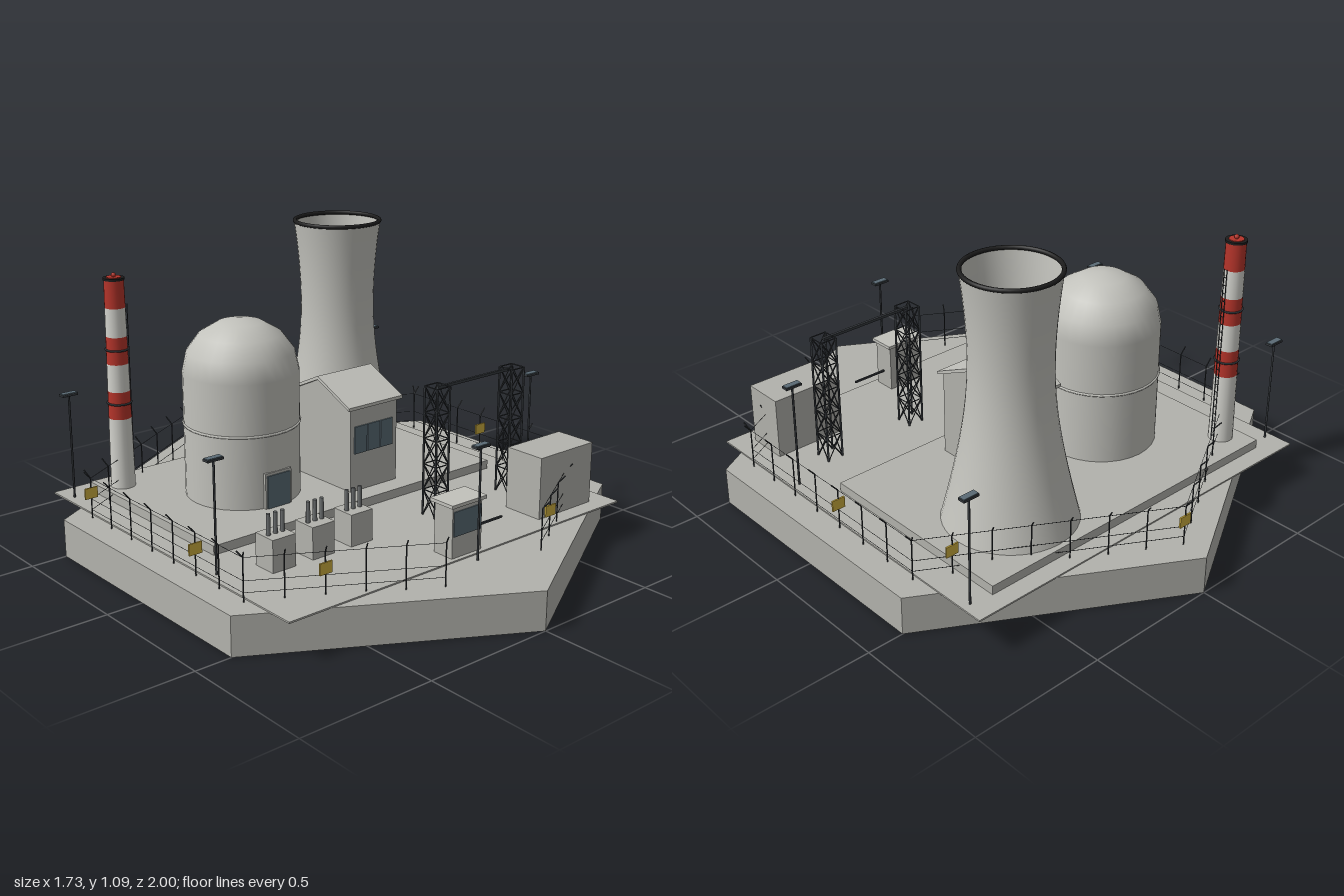
import * as THREE from 'three';
import { mergeGeometries } from 'three/addons/utils/BufferGeometryUtils.js';

const mat = (name, color, side = THREE.FrontSide) => {
  const m = new THREE.MeshStandardMaterial({ color, side });
  m.name = name;
  return m;
};

export function createModel() {
  const concrete = mat('concrete', 0xb2b2ac);
  const shell = mat('pale concrete', 0xc2c2bc, THREE.DoubleSide);
  const white = mat('stack white', 0xd2d2cc);
  const red = mat('stack red', 0xb5342a);
  const glass = mat('dark glass', 0x5a6b75);
  const steel = mat('dark steel', 0x34383c);
  const black = mat('rim black', 0x1c1c1c);
  const insulator = mat('insulator grey', 0x6c6f70);
  const yellow = mat('sign yellow', 0xd0b040);

  const model = new THREE.Group();
  const V = (x, y, z) => new THREE.Vector3(x, y, z);
  const add = (name, geo, material, x = 0, y = 0, z = 0, parent = model) => {
    const mesh = new THREE.Mesh(geo, material);
    mesh.name = name;
    mesh.position.set(x, y, z);
    parent.add(mesh);
    return mesh;
  };
  // Box given by its centre in x and z, and its bottom
  const box = (name, material, w, h, d, x, y, z, parent) =>
    add(name, new THREE.BoxGeometry(w, h, d), material, x, y + h / 2, z, parent);
  // Straight rod between two points
  const rod = (a, b, r, sides = 5) => {
    const dir = b.clone().sub(a);
    const g = new THREE.CylinderGeometry(r, r, dir.length(), sides);
    g.applyQuaternion(new THREE.Quaternion().setFromUnitVectors(V(0, 1, 0), dir.normalize()));
    return g.translate(...a.clone().add(b).multiplyScalar(0.5).toArray());
  };
  const G = 0.145, P = 0.178; // ground and plinth heights

  // Site: hexagonal base, yard slab and plinth
  const hex = new THREE.CylinderGeometry(1, 1, 0.14, 6).toNonIndexed();
  hex.computeVertexNormals();
  add('base', hex, concrete, 0, 0.07, 0);
  box('yardSlab', concrete, 1.525, 0.006, 1.407, 0, 0.139, -0.047);
  box('plinth', concrete, 1.296, P - 0.14, 0.79, 0, 0.14, -0.288);

  // Cooling tower: hyperbolic shell with a dark rim
  const profile = [];
  for (let i = 0; i <= 20; i++) {
    const y = P + (1.08 - P) * i / 20, k = (y - 0.76) / (y < 0.76 ? 0.437 : 0.52);
    profile.push(new THREE.Vector2(0.141 * Math.sqrt(1 + k * k), y));
  }
  add('coolingTower', new THREE.LatheGeometry(profile, 40), shell, 0.339, 0, -0.429);
  const rim = new THREE.TorusGeometry(0.162, 0.008, 8, 40).rotateX(Math.PI / 2);
  add('coolingTowerRim', rim, black, 0.339, 1.08, -0.429);

  // Reactor: drum, dome, ring and door
  const reactor = new THREE.Group();
  reactor.name = 'reactor';
  reactor.position.set(-0.26, 0, -0.252);
  model.add(reactor);
  add('reactorDrum', new THREE.CylinderGeometry(0.21, 0.21, 0.459, 32, 1, true), shell, 0, P + 0.2295, 0, reactor);
  const dome = new THREE.SphereGeometry(0.21, 32, 4, 0, Math.PI * 2, 0, Math.PI / 2).scale(1, 0.9, 1);
  add('reactorDome', dome, shell, 0, 0.637, 0, reactor);
  add('reactorRing', new THREE.TorusGeometry(0.21, 0.005, 6, 32).rotateX(Math.PI / 2), shell, 0, 0.448, 0, reactor);
  box('reactorDoorFrame', concrete, 0.115, 0.132, 0.03, 0, P, 0.197, reactor);
  box('reactorDoor', glass, 0.1, 0.122, 0.006, 0, P, 0.213, reactor);

  // Turbine hall: gabled body, overhanging roof, window band
  const prism = (pts, len) => {
    const s = new THREE.Shape(pts.map(p => new THREE.Vector2(...p)));
    return new THREE.ExtrudeGeometry(s, { depth: len, bevelEnabled: false })
      .translate(0, 0, -len / 2).rotateY(Math.PI / 2);
  };
  add('turbineHall', prism([[-0.165, P], [0.165, P], [0.165, 0.5], [0, 0.575], [-0.165, 0.5]], 0.222), concrete, 0.13, 0, -0.139);
  add('turbineRoof', prism([[-0.177, 0.492], [0, 0.573], [0.177, 0.492], [0.177, 0.504], [0, 0.586], [-0.177, 0.504]], 0.258),
    shell, 0.13, 0, -0.139);
  for (let i = 0; i < 3; i++) box('hallWindow', glass, 0.058, 0.103, 0.006, 0.065 + i * 0.062, 0.322, 0.028);

  // Striped chimney, radius shrinking with height
  const stack = new THREE.Group();
  stack.name = 'chimney';
  stack.position.set(-0.571, 0, -0.575);
  model.add(stack);
  const levels = [P, 0.443, 0.545, 0.647, 0.748, 0.853, 0.955];
  const rad = y => 0.045 - 0.009 * (y - P) / 0.777;
  for (let i = 0; i < 6; i++) {
    const [a, b] = [levels[i], levels[i + 1]];
    add('chimneyBand', new THREE.CylinderGeometry(rad(b), rad(a), b - a, 20), i % 2 ? red : white, 0, (a + b) / 2, 0, stack);
  }
  for (const y of [0.5, 0.7])
    add('chimneyRing', new THREE.TorusGeometry(rad(y) + 0.002, 0.004, 5, 20).rotateX(Math.PI / 2), steel, 0, y, 0, stack);
  add('chimneyRim', new THREE.CylinderGeometry(0.039, 0.039, 0.008, 20), black, 0, 0.957, 0, stack);
  add('chimneyCap', new THREE.CylinderGeometry(0.027, 0.027, 0.004, 16), red, 0, 0.962, 0, stack);
  add('warningLamp', new THREE.SphereGeometry(0.009, 8, 6), red, 0, 0.97, 0, stack);
  const ladder = [-0.006, 0.006].map(z => rod(V(0.046, P, z), V(0.046, 0.86, z), 0.002, 4));
  for (let y = 0.2; y < 0.86; y += 0.03) ladder.push(rod(V(0.046, y, -0.006), V(0.046, y, 0.006), 0.0015, 4));
  add('chimneyLadder', mergeGeometries(ladder), steel, 0, 0, 0, stack);

  // Transformers with three bushings each
  for (const x of [-0.54, -0.375, -0.208]) {
    box('transformer', concrete, 0.094, 0.118, 0.092, x, 0.142, 0.304);
    for (const dx of [-0.029, 0, 0.029])
      add('bushing', new THREE.CylinderGeometry(0.007, 0.008, 0.075, 8), insulator, x + dx, 0.297, 0.304);
  }

  // Power gantry: two cross-braced towers and a beam
  for (const x of [0.162, 0.535]) {
    const parts = [], h = 0.031, n = 5, step = (0.623 - G) / n;
    const corners = [[-h, -h], [h, -h], [h, h], [-h, h]];
    corners.forEach(([ax, az], i) => {
      const [bx, bz] = corners[(i + 1) % 4];
      parts.push(rod(V(ax, 0.14, az), V(ax, 0.623, az), 0.004));
      for (let k = 0; k < n; k++) {
        const y0 = G + k * step, y1 = y0 + step;
        parts.push(rod(V(ax, y0, az), V(bx, y1, bz), 0.0025, 4), rod(V(bx, y0, bz), V(ax, y1, az), 0.0025, 4),
          rod(V(ax, y1, az), V(bx, y1, bz), 0.0025, 4));
      }
    });
    add('gantryTower', mergeGeometries(parts), steel, x, 0, 0.321);
  }
  box('gantryBeam', steel, 0.375, 0.01, 0.01, 0.348, 0.613, 0.321);

  // Gatehouse with windows and barrier, and a plain store
  box('gatehouse', concrete, 0.136, 0.185, 0.085, 0, 0.142, 0.598);
  box('gatehouseRoof', shell, 0.16, 0.012, 0.106, 0, 0.327, 0.598);
  box('gatehouseWindow', glass, 0.126, 0.088, 0.006, 0, 0.222, 0.641);
  box('barrierArm', steel, 0.14, 0.007, 0.007, 0.14, 0.208, 0.598);
  box('storeBuilding', concrete, 0.27, 0.232, 0.159, 0.543, 0.142, 0.514);

  // Yard lights
  for (const [x, z] of [[-0.73, -0.658], [0.73, -0.67], [-0.73, 0.238], [0.73, 0.238], [0, 0.693]]) {
    add('lightPole', rod(V(x, 0.14, z), V(x, 0.54, z), 0.004, 6), steel);
    box('lightHousing', steel, 0.062, 0.008, 0.027, x, 0.536, z);
    box('lightCover', glass, 0.058, 0.003, 0.023, x, 0.544, z);
  }

  // Perimeter fence with outward-leaning tops, open at the front
  const X = 0.779;
  const runs = [
    [[0, -0.9], [-X, -0.45], 7], [[0, -0.9], [X, -0.45], 7],
    [[-X, -0.45], [-X, 0.45], 7], [[X, -0.45], [X, 0.45], 7],
    [[-X, 0.45], [-0.223, 0.771], 5], [[X, 0.45], [0.223, 0.771], 5],
  ];
  const posts = [], wires = [];
  for (const [a, b, n] of runs) {
    const A = V(a[0], 0, a[1]), B = V(b[0], 0, b[1]);
    const out = V(a[1] - b[1], 0, b[0] - a[0]).normalize();
    if (out.dot(A.clone().add(B)) < 0) out.negate();
    for (let i = 0; i <= n; i++) {
      const p = A.clone().lerp(B, i / n), top = p.clone().setY(0.29);
      posts.push(rod(p.clone().setY(0.135), top, 0.0025),
        rod(top, top.clone().addScaledVector(out, 0.024).setY(0.318), 0.0025));
    }
    for (const y of [0.172, 0.212, 0.29]) wires.push(rod(A.clone().setY(y), B.clone().setY(y), 0.001, 4));
  }
  add('fencePosts', mergeGeometries(posts), steel);
  add('fenceWires', mergeGeometries(wires), steel);

  // Warning plates on the fence
  const plates = [[-X, -0.45], [0, -0.9], [0.668, -0.514], [X, -0.064], [0.334, 0.707], [-0.556, 0.579], [-X, 0.193]];
  for (const [x, z] of plates) box('warningPlate', yellow, 0.05, 0.04, 0.006, x, 0.215, z);

  return model;
}
